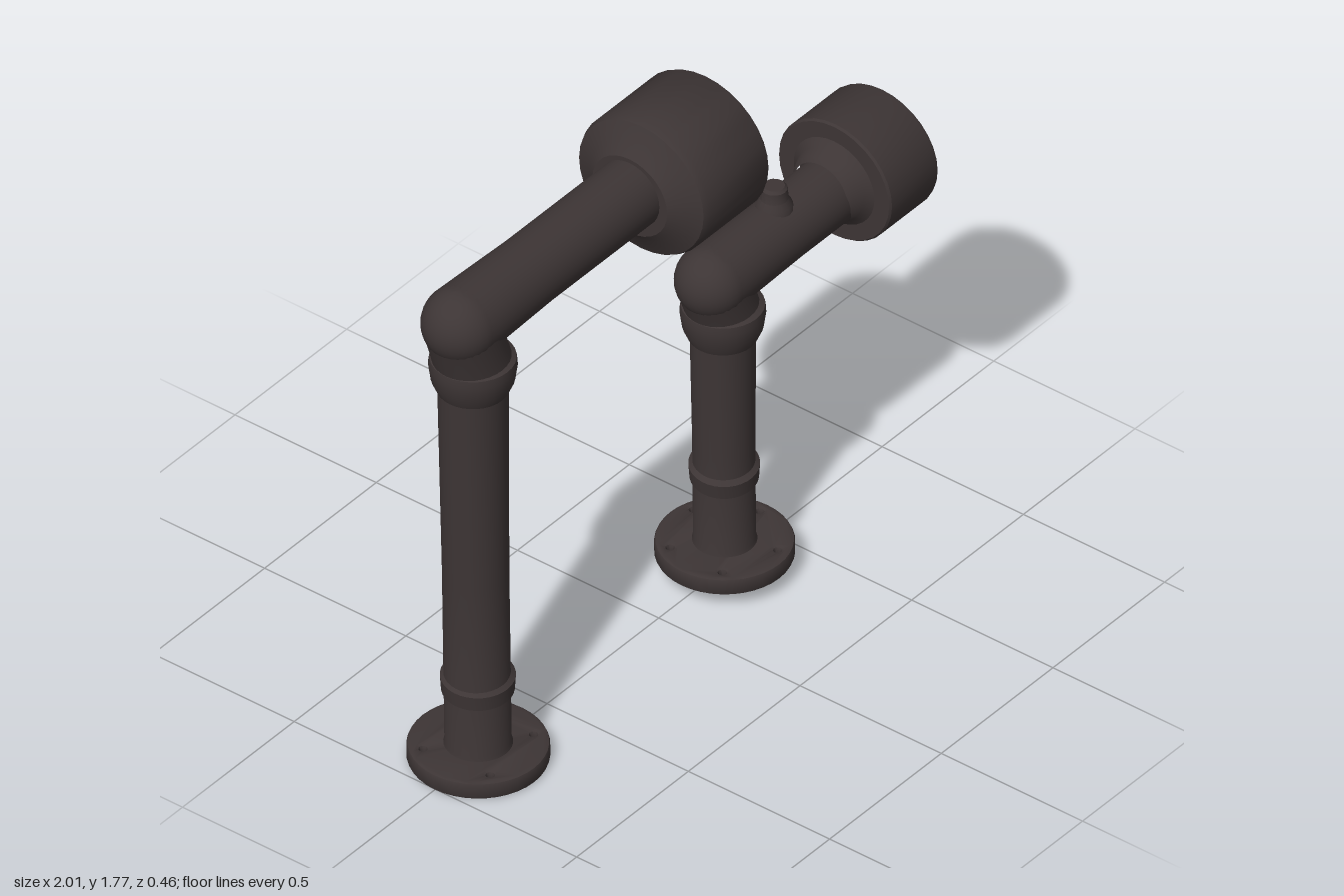
import * as THREE from 'three';
import { toCreasedNormals } from 'three/addons/utils/BufferGeometryUtils.js';

const iron = new THREE.MeshStandardMaterial({ color: 0x3d3535 });
iron.name = 'dark iron';

function add(parent, name, geometry) {
  const mesh = new THREE.Mesh(toCreasedNormals(geometry, 0.6), iron);
  mesh.name = name;
  parent.add(mesh);
  return mesh;
}

// Turned part: profile of [radius, height] pairs about the y axis
function turned(parent, name, profile, x, y, segments = 32) {
  const points = profile.map(([r, h]) => new THREE.Vector2(r, h));
  const mesh = add(parent, name, new THREE.LatheGeometry(points, segments));
  mesh.position.set(x, y, 0);
  return mesh;
}

// Turned part lying along +x
function sideways(parent, name, profile, x, y) {
  const mesh = turned(parent, name, profile, x, y);
  mesh.rotation.z = -Math.PI / 2;
  return mesh;
}

// Round foot plate with bolt holes
function flange(parent, x, y, radius, holes, start) {
  const bevel = 0.01;
  const shape = new THREE.Shape();
  shape.absarc(0, 0, radius - bevel, 0, Math.PI * 2);
  for (let i = 0; i < holes; i++) {
    const a = start + (i / holes) * Math.PI * 2;
    const hole = new THREE.Path();
    hole.absarc(Math.cos(a) * 0.157, Math.sin(a) * 0.157, 0.02, 0, Math.PI * 2, true);
    shape.holes.push(hole);
  }
  const geometry = new THREE.ExtrudeGeometry(shape, {
    depth: 0.035, bevelEnabled: true, bevelThickness: bevel, bevelSize: bevel,
    bevelSegments: 2, curveSegments: 20,
  });
  geometry.rotateX(-Math.PI / 2);
  const mesh = add(parent, 'flange', geometry);
  mesh.position.set(x, y + bevel, 0);
}

// Upright pipe, collar, elbow and horizontal arm
function stand(parent, p) {
  flange(parent, p.footX, p.footY, p.flangeR, p.holes, p.holeStart);

  // Slightly leaning upright
  const length = p.collarY - p.footY;
  const column = turned(parent, 'upright pipe',
    [[p.r + 0.012, 0.03], [p.r, 0.065], [p.r, length * 0.5], [p.topR, length + 0.03]], p.footX, p.footY);
  column.rotation.z = Math.atan2(p.footX - p.topX, length);

  // Raised joint ring
  const ring = turned(parent, 'joint ring',
    [[p.r - 0.01, -0.035], [p.r + 0.009, -0.028], [p.r + 0.012, 0.02], [p.r - 0.01, 0.04]],
    p.footX - 0.002, p.ringY);
  ring.rotation.z = p.ringTilt;
  ring.rotation.x = p.ringTilt * 0.7;

  // Flared collar under the elbow
  const c = p.collarR;
  turned(parent, 'collar',
    [[p.topR - 0.01, 0], [c - 0.022, 0], [c - 0.007, 0.035], [c, 0.085], [c - 0.003, 0.108], [c - 0.03, 0.122]],
    p.topX, p.collarY);

  // Elbow: neck leaning into a rounded corner
  const baseY = p.collarY + 0.09;
  const rise = p.armY - baseY;
  const neck = turned(parent, 'elbow neck',
    [[p.elbowR - 0.002, 0], [p.elbowR - 0.004, rise * 0.4], [p.elbowR - 0.003, rise]], p.topX, baseY);
  neck.rotation.z = Math.atan2(p.topX - p.elbowX, rise);
  const corner = add(parent, 'elbow corner', new THREE.SphereGeometry(p.elbowR, 32, 20));
  corner.position.set(p.elbowX, p.armY, 0);

  // Horizontal arm
  sideways(parent, 'arm pipe',
    [[p.elbowR, 0], [p.elbowR - 0.003, 0.12], [p.armR, 0.3], [p.armR, p.armEnd - p.elbowX]],
    p.elbowX, p.armY);
}

// Open cup at the end of an arm
function cup(parent, profile, y) {
  const mesh = sideways(parent, 'open socket', profile, 0, y);
  mesh.scale.z = 1.035;
}

export function createModel() {
  const model = new THREE.Group();
  model.name = 'pipe stands';

  const tall = new THREE.Group();
  tall.name = 'tallStand';
  stand(tall, {
    footX: -0.808, footY: 0.005, flangeR: 0.2, holes: 4, holeStart: 0.88,
    r: 0.094, topR: 0.1, topX: -0.832, ringY: 0.275, ringTilt: 0.04,
    collarY: 1.31, collarR: 0.125, elbowX: -0.886, elbowR: 0.113,
    armY: 1.566, armR: 0.105, armEnd: -0.1,
  });
  cup(tall, [[0.09, -0.13], [0.128, -0.13], [0.158, -0.105], [0.213, -0.078], [0.22, -0.06],
    [0.22, 0.2], [0.215, 0.21], [0.193, 0.21], [0.187, 0.2], [0.184, -0.04], [0, -0.045]], 1.556);

  const short = new THREE.Group();
  short.name = 'shortStand';
  stand(short, {
    footX: 0.295, footY: 0.055, flangeR: 0.196, holes: 5, holeStart: 0,
    r: 0.088, topR: 0.093, topX: 0.287, ringY: 0.355, ringTilt: 0.09,
    collarY: 0.825, collarR: 0.121, elbowX: 0.239, elbowR: 0.107,
    armY: 1.043, armR: 0.1, armEnd: 0.77,
  });
  cup(short, [[0.09, 0.725], [0.102, 0.735], [0.115, 0.765], [0.138, 0.785], [0.188, 0.785], [0.193, 0.792],
    [0.193, 0.99], [0.19, 1], [0.168, 1], [0.163, 0.99], [0.16, 0.83], [0, 0.825]], 1.062);

  // Small plug on top of the short arm
  turned(short, 'plug',
    [[0.056, -0.02], [0.052, 0.012], [0.04, 0.03], [0.038, 0.064], [0.03, 0.072], [0, 0.072]], 0.517, 1.135, 16);

  model.add(tall, short);
  return model;
}
